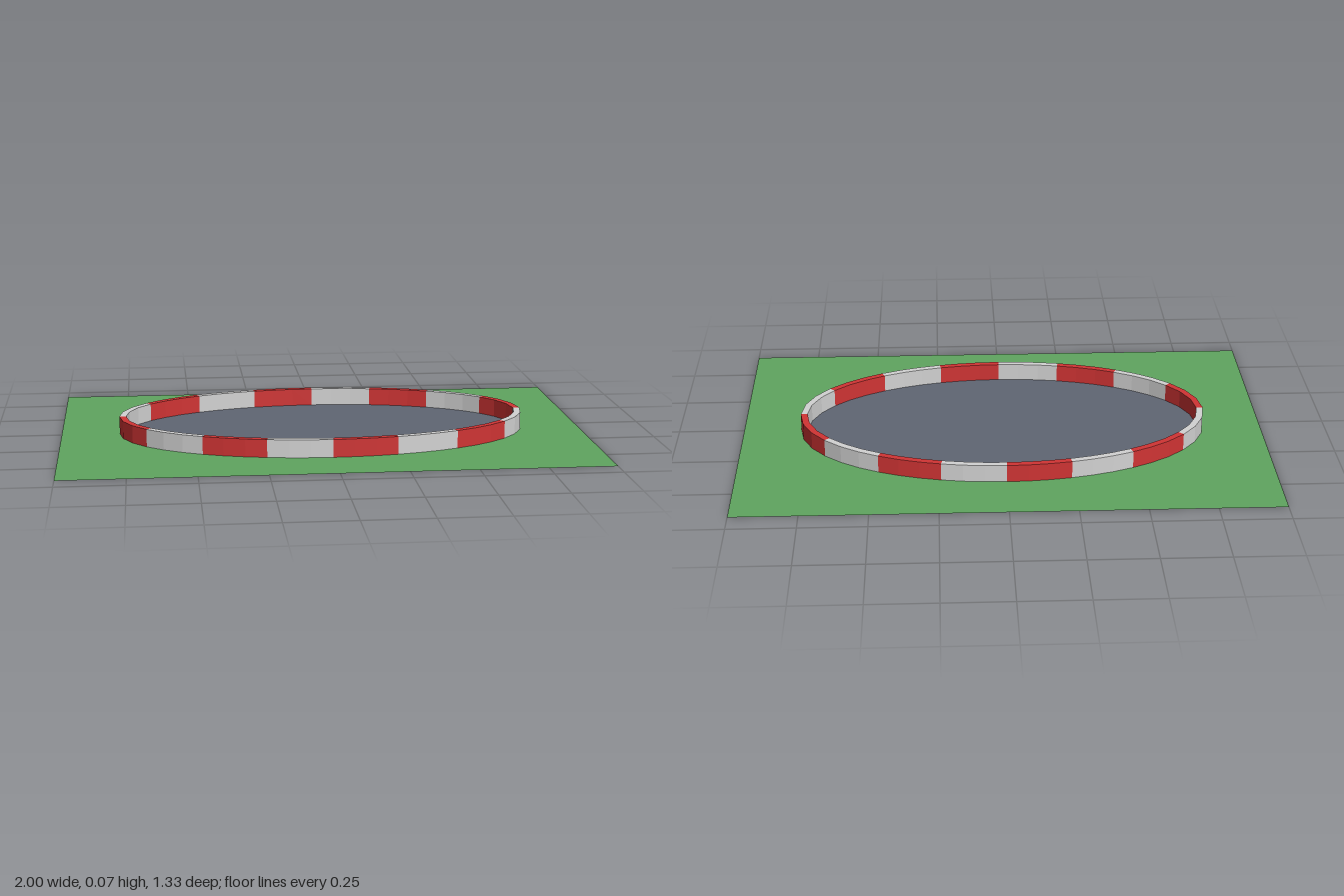
import * as THREE from 'three';

const A = 0.766, B = 0.432;      // half axes of the kerb centre line
const HALF_WIDTH = 0.013, HEIGHT = 0.068;
const BLOCKS = 16, STEPS = 3;    // kerb blocks, facets per block

const paint = (name, color, side = THREE.FrontSide) => {
  const m = new THREE.MeshStandardMaterial({ color, side });
  m.name = name;
  return m;
};

export function createModel() {
  const model = new THREE.Group();
  model.name = 'ovalArena';
  const grass = paint('grass green', 0x5fa55f, THREE.DoubleSide);
  const asphalt = paint('asphalt grey', 0x606673, THREE.DoubleSide);
  const red = paint('kerb red', 0xd03434);
  const white = paint('kerb white', 0xd3d3d3);

  const add = (name, geometry, material) => {
    geometry.rotateX(-Math.PI / 2); // drawn in plan, laid flat
    const mesh = new THREE.Mesh(geometry, material);
    mesh.name = name;
    model.add(mesh);
    return mesh;
  };

  const oval = new THREE.EllipseCurve(0, 0, A, B, 0, Math.PI * 2);
  const ovalPoints = oval.getPoints(64).slice(0, 64);

  // Lawn with an oval opening
  const lawn = new THREE.Shape([[-1, -0.667], [1, -0.667], [1, 0.667], [-1, 0.667]]
    .map(([x, y]) => new THREE.Vector2(x, y)));
  lawn.holes.push(new THREE.Path(ovalPoints));
  add('lawn', new THREE.ShapeGeometry(lawn), grass);

  // Paved floor filling the opening
  add('floor', new THREE.ShapeGeometry(new THREE.Shape(ovalPoints)), asphalt);

  // Kerb blocks of equal length, alternating in colour
  const offsetPoint = (u, d) => {
    const p = oval.getPointAt(u), t = oval.getTangentAt(u);
    return new THREE.Vector2(p.x + t.y * d, p.y - t.x * d);
  };
  for (let i = 0; i < BLOCKS; i++) {
    const outer = [], inner = [];
    for (let s = 0; s <= STEPS; s++) {
      const u = (i + s / STEPS) / BLOCKS;
      outer.push(offsetPoint(u, HALF_WIDTH));
      inner.unshift(offsetPoint(u, -HALF_WIDTH));
    }
    const block = new THREE.ExtrudeGeometry(new THREE.Shape([...outer, ...inner]),
      { depth: HEIGHT - 0.001, bevelEnabled: false });
    add('kerbBlock' + (i + 1), block, i % 2 ? white : red).position.y = 0.001;
  }
  return model;
}
